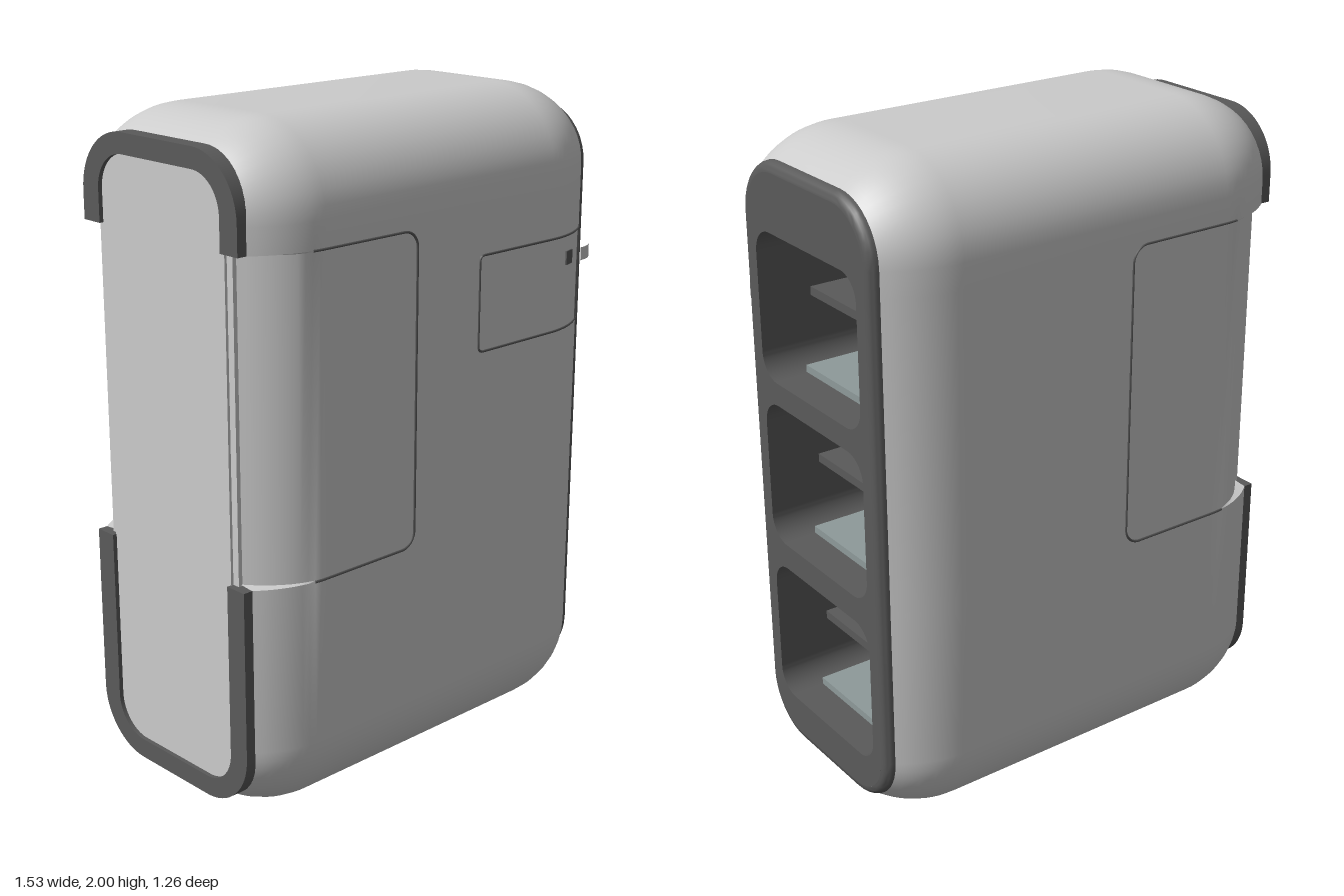
import * as THREE from 'three';
import { toCreasedNormals } from 'three/addons/utils/BufferGeometryUtils.js';

const grey = new THREE.MeshStandardMaterial({ color: 0xcccccc, side: THREE.DoubleSide });
const dark = new THREE.MeshStandardMaterial({ color: 0x5a5a5a, side: THREE.DoubleSide });
const line = new THREE.MeshStandardMaterial({ color: 0x555555 });
const metal = new THREE.MeshStandardMaterial({ color: 0x8e9a9a });

const HALF_DEPTH = 0.405, CORNER = 0.25, END = 0.665;
const BAND_LOW = 0.745, BAND_HIGH = 1.675;

// How far the skin curves inward towards the ends
function inset(x) {
  const t = Math.max(0, Math.abs(x) - 0.455), R = 0.33;
  return R - Math.sqrt(R * R - t * t);
}

// Rounded-rectangle outline at a station along x; the wrap band sits lower at the left end
function ring(x, i) {
  const pts = [], d = HALF_DEPTH - i, r = CORNER - i;
  const ys = [CORNER, BAND_LOW, BAND_LOW + 0.004, BAND_HIGH - 0.004, BAND_HIGH, 2 - CORNER];
  const side = (y, s) => {
    const inBand = x < -0.4 && y > BAND_LOW + 0.001 && y < BAND_HIGH - 0.001;
    pts.push([x, y, s * (inBand ? HALF_DEPTH - 1.65 * i : d)]);
  };
  const arc = (cz, cy, a0) => {
    for (let k = 1; k < 10; k++) {
      const a = a0 + (k / 10) * Math.PI / 2;
      pts.push([x, cy + r * Math.sin(a), cz + r * Math.cos(a)]);
    }
  };
  const c = d - r;
  ys.forEach(y => side(y, 1));
  arc(c, 2 - CORNER, 0);
  pts.push([x, 2 - i, c], [x, 2 - i, -c]);
  arc(-c, 2 - CORNER, Math.PI / 2);
  [...ys].reverse().forEach(y => side(y, -1));
  arc(-c, CORNER, Math.PI);
  pts.push([x, i, -c], [x, i, c]);
  arc(c, CORNER, Math.PI * 1.5);
  return pts;
}

// Skin through a list of [x, inset] stations, x increasing
function loft(stations) {
  const rings = stations.map(([x, i]) => ring(x, i)), n = rings[0].length, index = [];
  for (let k = 0; k < rings.length - 1; k++) {
    for (let i = 0; i < n; i++) {
      const j = (i + 1) % n, a = k * n + i, b = k * n + j, c = b + n, d = a + n;
      index.push(a, c, b, a, d, c);
    }
  }
  const g = new THREE.BufferGeometry();
  g.setAttribute('position', new THREE.Float32BufferAttribute(rings.flat(2), 3));
  g.setIndex(index);
  return toCreasedNormals(g, 0.6);
}

function roundRect(path, x0, x1, y0, y1, r) {
  path.moveTo(x0 + r, y0);
  path.lineTo(x1 - r, y0);
  path.absarc(x1 - r, y0 + r, r, -Math.PI / 2, 0);
  path.lineTo(x1, y1 - r);
  path.absarc(x1 - r, y1 - r, r, 0, Math.PI / 2);
  path.lineTo(x0 + r, y1);
  path.absarc(x0 + r, y1 - r, r, Math.PI / 2, Math.PI);
  path.lineTo(x0, y0 + r);
  path.absarc(x0 + r, y0 + r, r, Math.PI, Math.PI * 1.5);
  return path;
}

// Extrudes a (depth, height) shape along x from x0 to x1
function slab(shape, x0, x1) {
  const g = new THREE.ExtrudeGeometry(shape, { depth: x1 - x0, bevelEnabled: false, curveSegments: 8 });
  return toCreasedNormals(g.rotateY(Math.PI / 2).translate(x0, 0, 0), 0.6);
}

// Upside-down U for one half of the left rim
function archShape(cut) {
  const s = new THREE.Shape(), w = 0.33, v = 0.26, R = 0.18, r = 0.11, top = 1.94, inner = 1.88;
  s.moveTo(w, cut);
  s.lineTo(w, top - R);
  s.absarc(w - R, top - R, R, 0, Math.PI / 2);
  s.absarc(R - w, top - R, R, Math.PI / 2, Math.PI);
  s.lineTo(-w, cut);
  s.lineTo(-v, cut);
  s.absarc(r - v, inner - r, r, Math.PI, Math.PI / 2, true);
  s.absarc(v - r, inner - r, r, Math.PI / 2, 0, true);
  s.lineTo(v, cut);
  return s;
}

// Thin seam lying on the front (s = 1) or back (s = -1) skin along an (x, y) path
function seam(path, s, steps = 120) {
  const pts = path.getSpacedPoints(steps)
    .map(p => new THREE.Vector3(p.x, p.y, s * (HALF_DEPTH - inset(p.x))));
  return new THREE.TubeGeometry(new THREE.CatmullRomCurve3(pts), steps * 2, 0.004, 5);
}

export function createModel() {
  const root = new THREE.Group(), unit = new THREE.Group();
  root.add(unit);
  unit.rotation.y = Math.PI / 6;
  const add = (name, geometry, material, parent = unit) => {
    const m = new THREE.Mesh(geometry, material);
    m.name = name;
    parent.add(m);
    return m;
  };
  const box = (name, x0, x1, y, h, z, d, material, parent) => {
    const m = add(name, new THREE.BoxGeometry(x1 - x0, h, d), material, parent);
    m.position.set((x0 + x1) / 2, y, z);
    return m;
  };

  // Housing with softly curved ends
  const stations = [];
  for (let k = 10; k >= 0; k--) stations.push(-0.455 - (END - 0.455) * k / 10);
  for (let k = 0; k <= 10; k++) stations.push(0.455 + (END - 0.455) * k / 10);
  add('housing', loft(stations.map(x => [x, inset(x)])), grey);

  // Socket end: rounded bezel and deep block with three openings
  const bezel = [], i0 = inset(END);
  for (let k = 0; k <= 6; k++) {
    const a = k / 6 * Math.PI / 2;
    bezel.push([END + 0.03 * Math.sin(a), i0 + 0.03 * (1 - Math.cos(a))]);
  }
  add('socketBezel', loft(bezel), dark);
  const edge = i0 + 0.03, half = HALF_DEPTH - edge;
  const block = roundRect(new THREE.Shape(), -half, half, edge, 2 - edge, CORNER - edge);
  const centres = [1.495, 0.975, 0.445];
  centres.forEach(y => block.holes.push(roundRect(new THREE.Path(), -0.26, 0.26, y - 0.225, y + 0.225, 0.075)));
  add('socketBlock', slab(block, 0.03, END + 0.03), dark);
  box('socketFloor', 0.01, 0.03, 1, 1.7, 0, 0.6, grey);

  // Tongue and contact strip in each socket
  centres.forEach((y, k) => {
    const socket = new THREE.Group();
    socket.name = 'socket' + (k + 1);
    unit.add(socket);
    box('tongue', 0.03, 0.58, y + 0.035, 0.026, 0, 0.34, dark, socket);
    box('contactStrip', 0.03, 0.6, y - 0.2, 0.022, 0, 0.36, metal, socket);
  });
  add('floorSlot', slab(roundRect(new THREE.Shape(), -0.18, 0.18, 0.87, 1.14, 0.04), 0.03, 0.036), dark);

  // Closed end: dark rim halves around a light panel
  add('rimTop', slab(archShape(BAND_HIGH), -0.695, -0.63), dark);
  const low = add('rimBottom', slab(archShape(2 - BAND_LOW), -0.695, -0.63), dark);
  low.rotation.x = Math.PI;
  low.position.y = 2;
  add('endPanel', slab(roundRect(new THREE.Shape(), -0.262, 0.262, 0.118, 1.882, 0.11), -0.682, -0.63), grey);
  box('bandEnd', -0.674, -0.63, (BAND_LOW + BAND_HIGH) / 2, BAND_HIGH - BAND_LOW, 0, 0.57, grey);

  // Wrap band seams on both broad sides
  for (const s of [1, -1]) {
    const p = new THREE.Path(), x = -0.115, r = 0.05;
    p.moveTo(-0.5, BAND_LOW);
    p.lineTo(x - r, BAND_LOW);
    p.absarc(x - r, BAND_LOW + r, r, -Math.PI / 2, 0);
    p.lineTo(x, BAND_HIGH - r);
    p.absarc(x - r, BAND_HIGH - r, r, 0, Math.PI / 2);
    p.lineTo(-0.5, BAND_HIGH);
    add(s > 0 ? 'frontBandSeam' : 'backBandSeam', seam(p, s), line);
  }

  // Latch cover on the front, with a small hole and a hooked tab
  add('latchSeam', seam(roundRect(new THREE.Path(), 0.14, 0.66, 1.275, 1.56, 0.015), 1), line);
  const slit = new THREE.Path();
  slit.moveTo(0.63, 1.275);
  slit.lineTo(0.63, 1.56);
  add('latchSlit', seam(slit, 1, 8), line);
  box('latchHole', 0.525, 0.565, 1.49, 0.042, HALF_DEPTH - inset(0.545), 0.008, line).rotation.y = 0.27;
  const tab = new THREE.CylinderGeometry(0.12, 0.12, 0.04, 6, 1, true, 0.02, 0.5);
  add('latchTab', tab, grey).position.set(0.6, 1.49, 0.272);
  return root;
}
